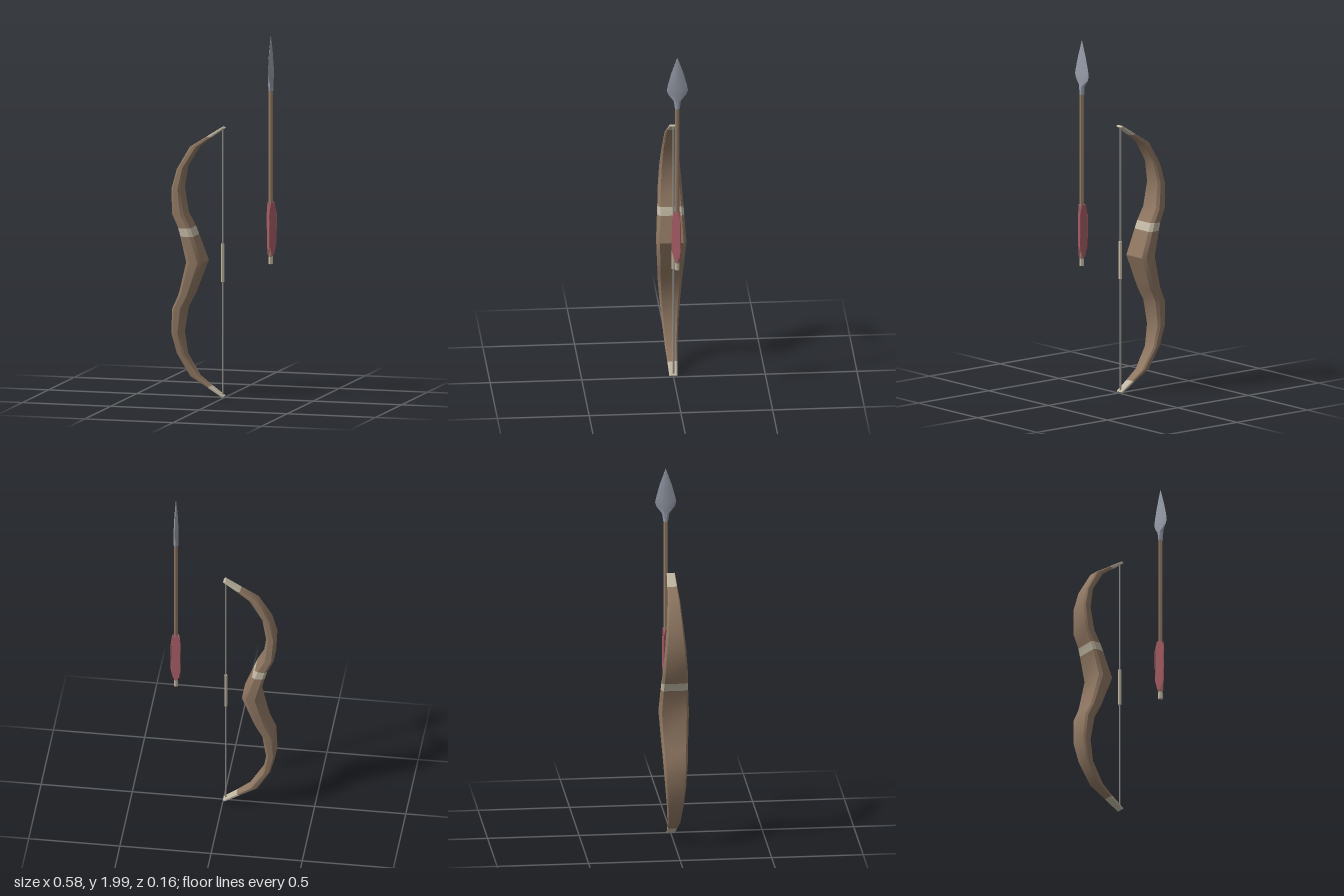
import * as THREE from 'three';
import { toCreasedNormals } from 'three/addons/utils/BufferGeometryUtils.js';

const material = (name, color) => {
  const m = new THREE.MeshStandardMaterial({ color });
  m.name = name;
  return m;
};

// Skin a stack of rings (listed upwards, counter-clockwise from above) and cap both ends.
// pick(i) gives the material index of the band between rings i and i + 1.
function loft(rings, crease, pick = () => 0) {
  const pos = [], geo = new THREE.BufferGeometry();
  const n = rings[0].length;
  const tri = (...pts) => pts.forEach((p) => pos.push(...p));
  for (let i = 0; i < rings.length - 1; i++) {
    const start = pos.length / 3, lo = rings[i], hi = rings[i + 1];
    for (let j = 0; j < n; j++) {
      const k = (j + 1) % n;
      tri(lo[j], lo[k], hi[k]);
      tri(lo[j], hi[k], hi[j]);
    }
    for (let j = 1; j < n - 1; j++) {
      if (i === 0) tri(lo[0], lo[j + 1], lo[j]);
      if (i === rings.length - 2) tri(hi[0], hi[j], hi[j + 1]);
    }
    geo.addGroup(start, pos.length / 3 - start, pick(i));
  }
  geo.setAttribute('position', new THREE.Float32BufferAttribute(pos, 3));
  return toCreasedNormals(geo, crease);
}

export function createModel() {
  const wood = material('brown wood', 0x8f7762);
  const pale = material('pale binding', 0xc0b7a2);
  const cord = material('grey cord', 0x96938e);
  const steel = material('steel', 0x979daa);
  const feather = material('red feather', 0xa85e66);

  const model = new THREE.Group();
  const add = (parent, name, geo, mat, x = 0, y = 0) => {
    const mesh = new THREE.Mesh(geo, mat);
    mesh.name = name;
    mesh.position.set(x, y, 0);
    parent.add(mesh);
    return mesh;
  };
  const rod = (parent, name, r, y0, y1, x, mat, sides) =>
    add(parent, name, toCreasedNormals(new THREE.CylinderGeometry(r, r, y1 - y0, sides), 0.9),
      mat, x, (y0 + y1) / 2);

  // Bow limb, grip to tip: back x, back height, belly x, belly height, half width
  const MID = 0.75;
  const half = [
    [-0.20, 0, -0.11, 0, 0.081],
    [-0.235, 0.14, -0.163, 0.14, 0.073],
    [-0.248, 0.185, -0.18, 0.185, 0.07],
    [-0.283, 0.26, -0.22, 0.26, 0.066],
    [-0.29, 0.395, -0.24, 0.395, 0.056],
    [-0.262, 0.505, -0.218, 0.515, 0.045],
    [-0.19, 0.63, -0.145, 0.63, 0.034],
    [-0.095, 0.69, -0.075, 0.682, 0.027],
    [-0.012, 0.743, 0, 0.735, 0.022],
  ];
  // Chamfered section: share of the way from belly to back, share of the half width
  const section = [[0, 0.8], [0, -0.8], [0.25, -1], [0.8, -1], [1, -0.84], [1, 0.84], [0.8, 1], [0.25, 1]];
  const ring = ([bx, by, ix, iy, w], sign) => section.map(([u, v]) =>
    [ix + (bx - ix) * u, MID + sign * (iy + (by - iy) * u), v * w]);
  const rings = [
    ...half.slice(1).reverse().map((s) => ring(s, -1)),
    ...half.map((s) => ring(s, 1)),
  ];
  const last = rings.length - 2, wrapBand = half.length;

  const bow = new THREE.Group();
  bow.name = 'bow';
  model.add(bow);
  add(bow, 'bowLimbs',
    loft(rings, 0.6, (i) => (i === 0 || i === last || i === wrapBand ? 1 : 0)), [wood, pale]);
  rod(bow, 'bowString', 0.005, 0.012, 1.485, -0.013, cord, 6);
  rod(bow, 'stringServing', 0.009, 0.64, 0.85, -0.013, pale, 6);

  // Arrow standing beside the bow
  const arrow = new THREE.Group();
  arrow.name = 'arrow';
  arrow.position.x = 0.26;
  model.add(arrow);
  rod(arrow, 'arrowShaft', 0.012, 0.785, 1.73, 0, wood, 6);
  rod(arrow, 'arrowNock', 0.0125, 0.75, 0.79, 0, pale, 6);

  // Arrowhead: height, half width, half thickness
  const blade = [
    [1.70, 0.013, 0.013], [1.745, 0.02, 0.013], [1.785, 0.05, 0.011], [1.81, 0.058, 0.010],
    [1.84, 0.052, 0.009], [1.91, 0.033, 0.007], [2.0, 0.001, 0.001],
  ].map(([y, w, t]) => [
    [t, y, 0.4 * w], [t, y, -0.4 * w], [0, y, -w], [-t, y, -0.4 * w], [-t, y, 0.4 * w], [0, y, w],
  ]);
  add(arrow, 'arrowHead', loft(blade, 0.5), steel);

  // Three flat feathers set in a triangle round the shaft
  const outline = [[0.008, 0.80], [0.026, 0.86], [0.028, 1.03], [0.014, 1.09]];
  const vane = new THREE.Shape([
    ...outline.map(([x, y]) => new THREE.Vector2(x, y)),
    ...outline.map(([x, y]) => new THREE.Vector2(-x, y)).reverse(),
  ]);
  const vaneGeo = new THREE.ExtrudeGeometry(vane, { depth: 0.004, bevelEnabled: false });
  vaneGeo.translate(0, 0, 0.012);
  for (let i = 0; i < 3; i++) {
    add(arrow, 'feather', vaneGeo, feather).rotation.y = Math.PI + i * Math.PI * 2 / 3;
  }

  return model;
}
